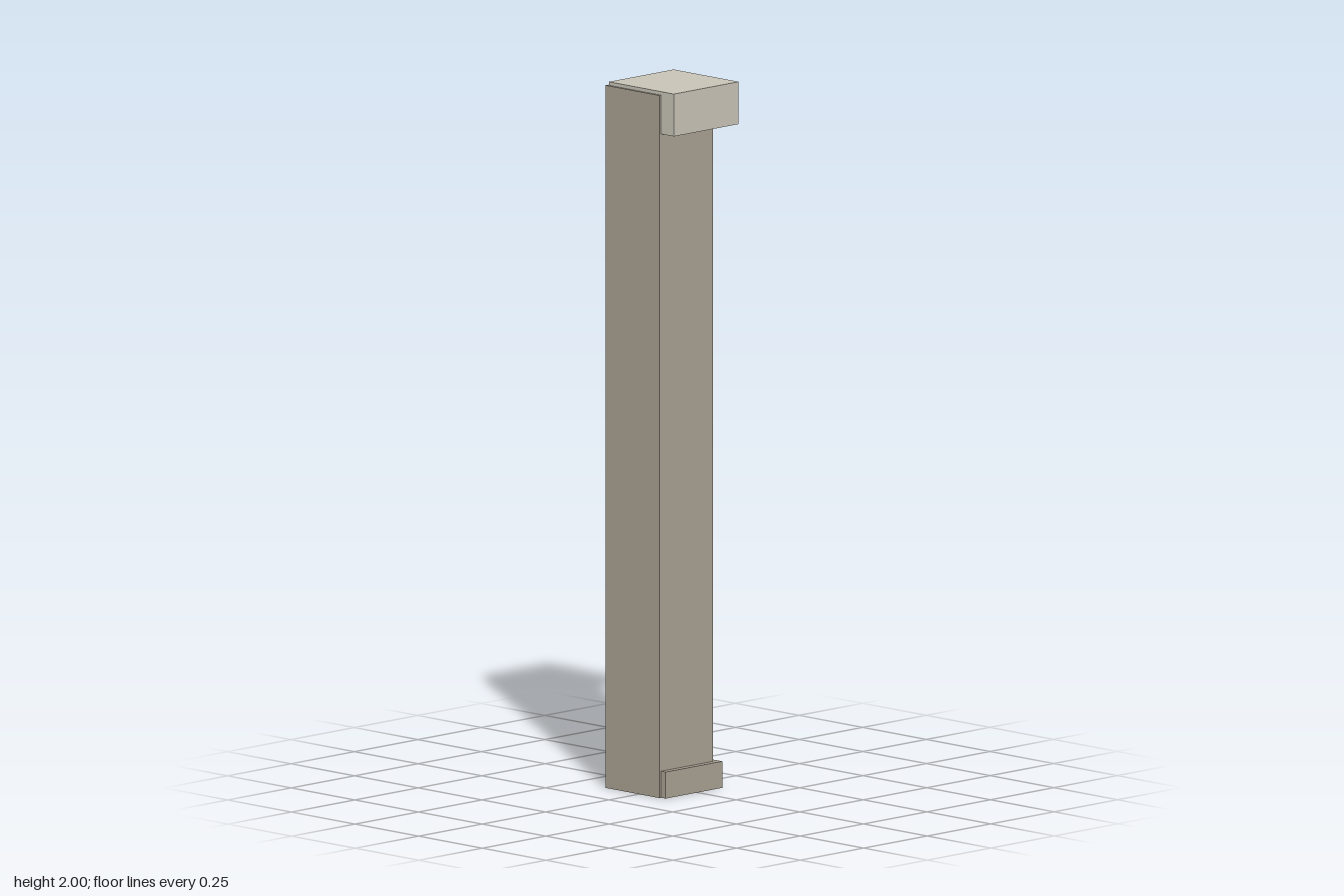
import * as THREE from 'three';

const stone = new THREE.MeshStandardMaterial({ color: 0xa9a092 });
stone.name = 'warm grey stone';
const paleStone = new THREE.MeshStandardMaterial({ color: 0xc8c4b6 });
paleStone.name = 'pale stone';

// Block with a square footprint: x and z both run from min to max
function block(name, material, min, max, bottom, top) {
  const width = max - min;
  const mesh = new THREE.Mesh(new THREE.BoxGeometry(width, top - bottom, width), material);
  mesh.name = name;
  const centre = (min + max) / 2;
  mesh.position.set(centre, (bottom + top) / 2, centre);
  return mesh;
}

export function createModel() {
  const model = new THREE.Group();
  model.name = 'cornerPillar';
  model.add(
    // The shaft stands slightly proud of the cap and plinth at the back and right
    block('shaft', stone, -0.132, 0.08, 0, 1.99),
    block('plinth', stone, -0.125, 0.098, 0, 0.075),
    block('cap', paleStone, -0.125, 0.13, 1.88, 2),
  );
  return model;
}
